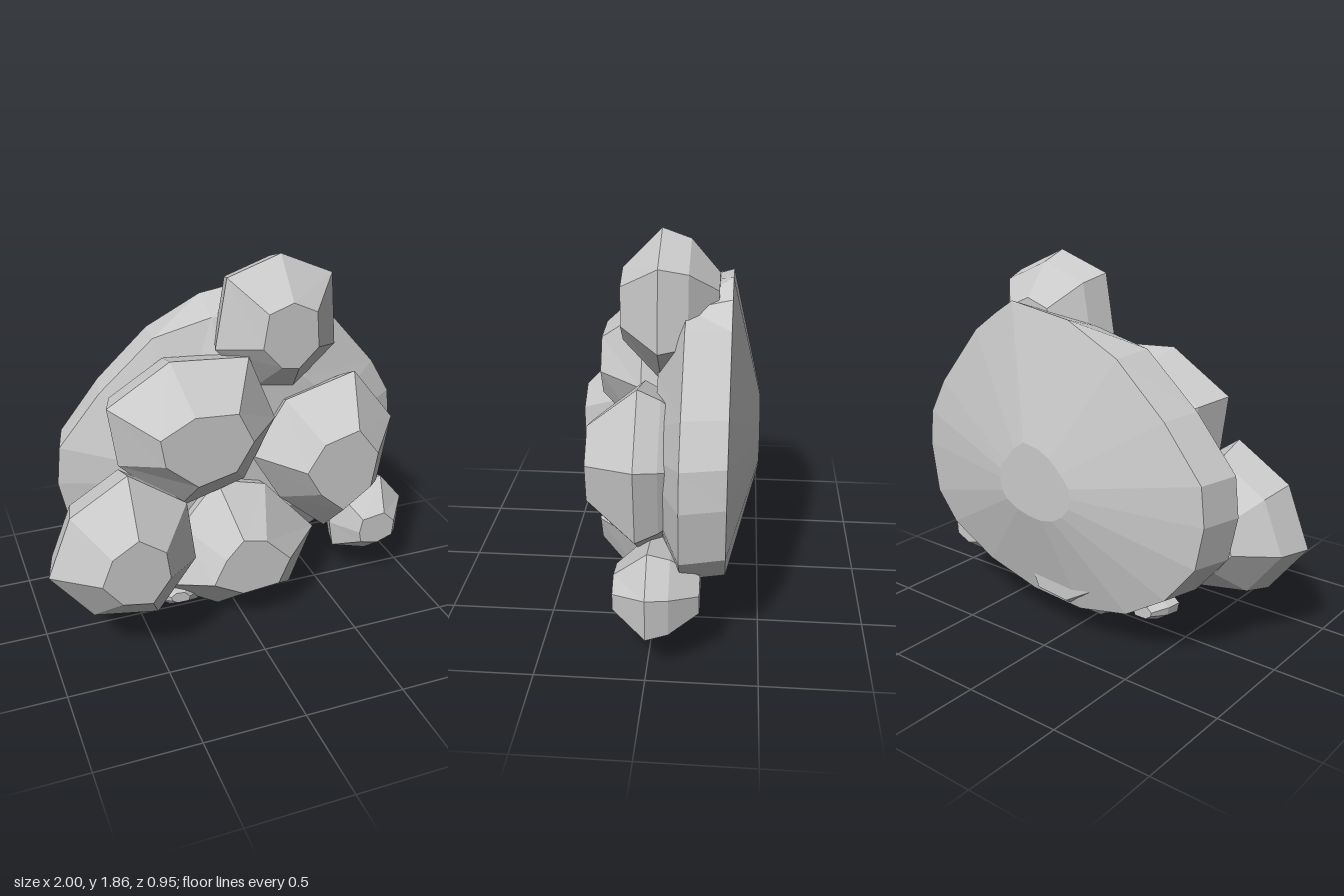
import * as THREE from 'three';

const stone = new THREE.MeshStandardMaterial({ color: 0xcacaca });
stone.name = 'grey stone';

// Skin closed rings (clockwise seen from +z, ordered front to back) with flat facets and end caps
function loft(name, rings) {
  const pos = [];
  const tri = (a, b, c) => pos.push(...a, ...b, ...c);
  const centre = (r) => [0, 1, 2].map((k) => r.reduce((s, p) => s + p[k], 0) / r.length);
  const n = rings[0].length, first = rings[0], last = rings[rings.length - 1];
  const cf = centre(first), cb = centre(last);
  for (let i = 0; i < n; i++) {
    const j = (i + 1) % n;
    tri(cf, first[j], first[i]);
    tri(cb, last[i], last[j]);
    for (let k = 0; k < rings.length - 1; k++) {
      const f = rings[k], b = rings[k + 1];
      tri(f[i], f[j], b[j]);
      tri(f[i], b[j], b[i]);
    }
  }
  const geo = new THREE.BufferGeometry();
  geo.setAttribute('position', new THREE.Float32BufferAttribute(pos, 3));
  geo.computeVertexNormals();
  const mesh = new THREE.Mesh(geo, stone);
  mesh.name = name;
  return mesh;
}

// Faceted boulder: the girdle outline shrinks to a small front face and tapers to the rear.
// depths = z of face, girdle, shoulder and rear end
function boulder(name, girdle, depths, [faceW, faceH]) {
  const mean = (k) => girdle.reduce((t, p) => t + p[k], 0) / girdle.length;
  const cx = mean(0), cy = mean(1);
  const scales = [[faceW, faceH], [1, 1], [0.87, 0.87], [0.44, 0.44]];
  return loft(name, scales.map(([sx, sy], k) =>
    girdle.map(([x, y]) => [cx + (x - cx) * sx, cy + (y - cy) * sy, depths[k]])));
}

// Wide backing slab: one outline, grown and shrunk around its middle; its front edge is cut flat at top and bottom
function slab() {
  const rim = [
    [0.3, 1.65], [0.41, 1.58], [0.55, 1.48], [0.8, 1.18], [0.9, 1.0], [0.92, 0.82], [0.88, 0.56], [0.76, 0.41],
    [0.5, 0.27], [0.2, 0.19], [-0.1, 0.17], [-0.38, 0.23], [-0.6, 0.37], [-0.76, 0.57], [-0.8, 0.78],
    [-0.78, 0.97], [-0.58, 1.22], [-0.32, 1.46], [-0.04, 1.6],
  ];
  const cx = 0.06, cy = 0.81;
  const ring = (sx, sy, z, low = 0, high = 2) => rim.map(([x, y]) =>
    [cx + (x - cx) * sx, THREE.MathUtils.clamp(cy + (y - cy) * sy, low, high), z]);
  return loft('slab', [
    ring(0.7, 0.6, -0.01),
    ring(1.06, 1.02, -0.14, 0.16, 1.54),
    ring(1, 1, -0.34),
    ring(0.255, 0.25, -0.48),
  ]);
}

export function createModel() {
  const model = new THREE.Group();
  model.name = 'rockCluster';
  model.add(slab());

  // Boulders piled against the slab front
  model.add(boulder('topBoulder',
    [[-0.01, 1.77], [0.26, 1.86], [0.53, 1.74], [0.56, 1.37], [0.34, 1.17], [0.14, 1.2], [-0.07, 1.42]],
    [0.16, -0.02, -0.15, -0.28], [0.45, 0.48]));
  model.add(boulder('upperBoulder',
    [[-0.64, 1.25], [-0.33, 1.44], [0.06, 1.41], [0.2, 1.07], [0.04, 0.76], [-0.31, 0.66], [-0.6, 0.95]],
    [0.31, 0.09, -0.08, -0.25], [0.54, 0.46]));
  model.add(boulder('sideBoulder',
    [[0.27, 1.14], [0.64, 1.24], [0.87, 0.95], [0.81, 0.58], [0.51, 0.365], [0.25, 0.59], [0.09, 0.86]],
    [0.295, 0.06, -0.04, -0.25], [0.49, 0.5]));
  model.add(boulder('bottomBoulder',
    [[-0.28, 0.52], [-0.09, 0.75], [0.17, 0.68], [0.45, 0.365], [0.32, 0.04], [-0.09, 0], [-0.42, 0.2]],
    [0.295, 0.05, -0.15, -0.37], [0.47, 0.42]));
  model.add(boulder('outerBoulder',
    [[-1, 0.52], [-0.88, 0.82], [-0.6, 0.99], [-0.32, 0.79], [-0.28, 0.47], [-0.48, 0.2], [-0.8, 0.26]],
    [0.475, 0.27, 0.1, -0.08], [0.45, 0.45]));
  model.add(boulder('smallBoulder',
    [[0.61, 0.52], [0.87, 0.565], [1, 0.41], [0.985, 0.2], [0.8, 0.12], [0.6, 0.18], [0.575, 0.33]],
    [0.155, 0, -0.1, -0.23], [0.48, 0.4]));
  model.add(boulder('pebble',
    [[-0.43, 0.15], [-0.37, 0.2], [-0.25, 0.19], [-0.18, 0.11], [-0.2, 0.05], [-0.35, 0.05], [-0.42, 0.1]],
    [0.1, 0.04, -0.03, -0.11], [0.4, 0.4]));
  return model;
}
